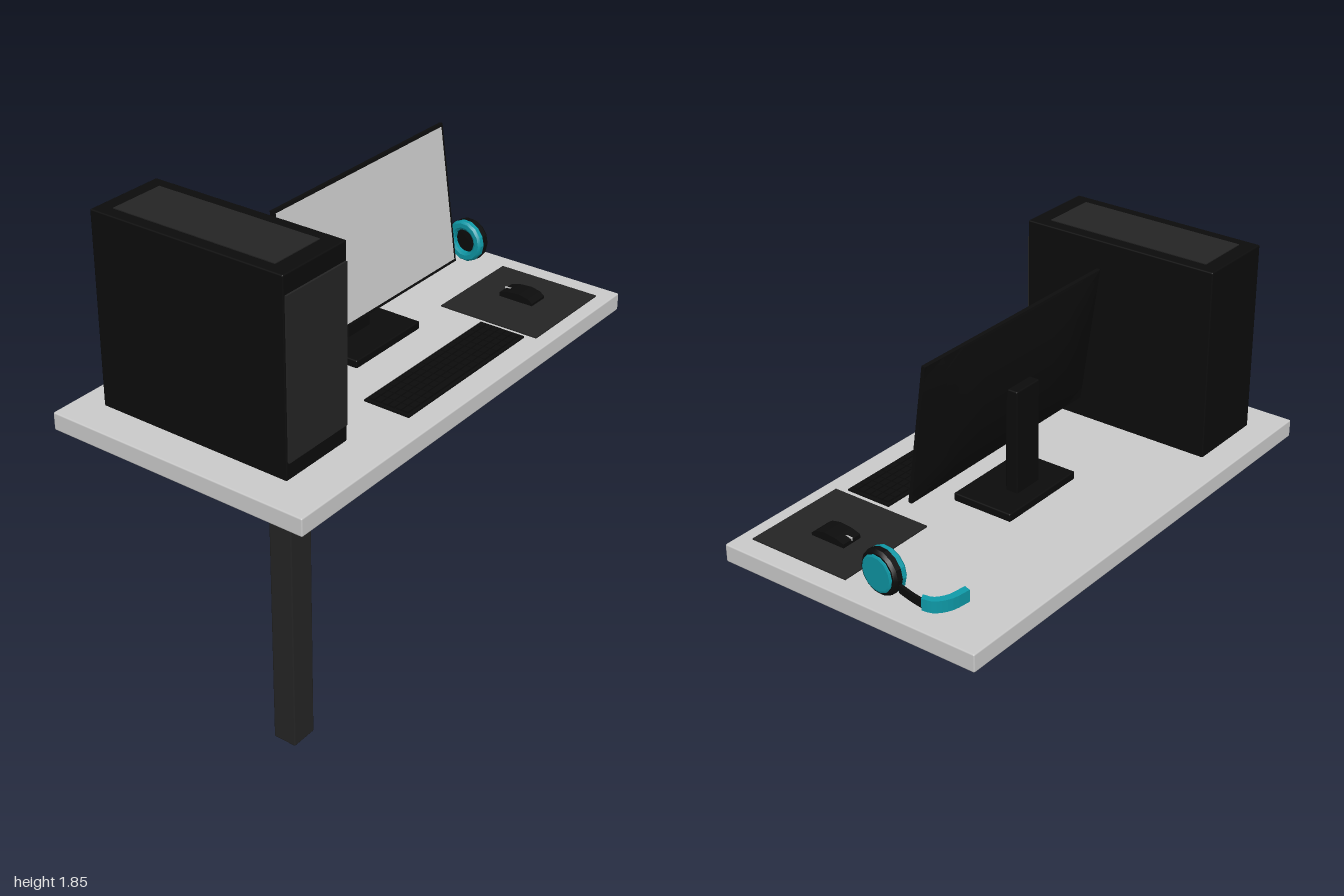
import * as THREE from 'three';
import { mergeGeometries, toCreasedNormals } from 'three/addons/utils/BufferGeometryUtils.js';
import { RoundedBoxGeometry } from 'three/addons/geometries/RoundedBoxGeometry.js';

const mat = (color) => new THREE.MeshStandardMaterial({ color });
const grey = mat(0xcccccc), black = mat(0x0c0c0c), panel = mat(0x242424), teal = mat(0x0e98a6);

function add(parent, name, geometry, material) {
  const mesh = new THREE.Mesh(geometry, material);
  mesh.name = name;
  parent.add(mesh);
  return mesh;
}

function group(parent, name) {
  const g = new THREE.Group();
  g.name = name;
  parent.add(g);
  return g;
}

// Box given by its limits on each axis, with an optional small bevel
function block([x0, x1], [y0, y1], [z0, z1], bevel = 0) {
  const size = [x1 - x0, y1 - y0, z1 - z0];
  const g = bevel ? new RoundedBoxGeometry(...size, 1, bevel) : new THREE.BoxGeometry(...size);
  return g.translate((x0 + x1) / 2, (y0 + y1) / 2, (z0 + z1) / 2);
}

const TOP = 1.085; // height of the desk surface

function buildDesk(root) {
  const desk = group(root, 'desk');
  add(desk, 'deskTop', block([-1, 1], [1.013, TOP], [-0.557, 0.557], 0.006), grey);
  add(desk, 'deskLeg', block([-0.89, -0.78], [0, 1.014], [0.325, 0.42], 0.006), panel);
}

function buildTower(root) {
  const tower = group(root, 'computerTower');
  add(tower, 'towerCase', block([-0.857, -0.53], [TOP, 1.842], [-0.445, 0.38], 0.005), black);
  add(tower, 'towerFrontPanel', block([-0.85, -0.537], [1.155, 1.77], [0.37, 0.388]), panel);
  add(tower, 'towerTopPanel', block([-0.808, -0.58], [1.83, 1.845], [-0.385, 0.31]), panel);
}

// Back shell: depth grows from the rim, straight across and curved in height
function backShell(w, h, rim, bulge) {
  const g = new THREE.BoxGeometry(w, h, 1, 10, 12, 1);
  const p = g.attributes.position;
  for (let i = 0; i < p.count; i++) {
    const x = p.getX(i), y = p.getY(i);
    const across = Math.min(1, (w / 2 - Math.abs(x)) / (w * 0.2));
    const up = 1 - (2 * y / h) ** 2;
    p.setZ(i, p.getZ(i) > 0 ? 0 : -rim - bulge * Math.min(across, up));
  }
  return toCreasedNormals(g, 0.3);
}

function buildMonitor(root) {
  const monitor = group(root, 'monitor');
  add(monitor, 'monitorBase', block([-0.11, 0.283], [TOP, 1.118], [-0.152, 0.105], 0.005), black);
  add(monitor, 'monitorNeck', block([0.018, 0.15], [1.11, 1.53], [-0.083, -0.03], 0.005), black);
  const head = group(monitor, 'monitorHead');
  head.position.set(0.086, 1.515, 0.019);
  head.rotation.x = -0.143;
  const w = 1.004, h = 0.556;
  add(head, 'monitorShell', backShell(w, h, 0.015, 0.045), black);
  add(head, 'screen', block([-w / 2 + 0.012, w / 2 - 0.012], [-h / 2 + 0.012, h / 2 - 0.012], [-0.005, 0.002]), grey);
}

function buildKeyboard(root) {
  const keyboard = group(root, 'keyboard');
  add(keyboard, 'keyboardBody', block([-0.28, 0.462], [TOP, 1.092], [0.265, 0.46]), black);
  const keys = [], rows = 6, cols = 18, dx = 0.722 / cols, dz = 0.176 / rows;
  for (let r = 0; r < rows; r++) {
    for (let c = 0; c < cols; c++) {
      if (r === 5 && c > 4 && c < 9) continue; // room for the space bar
      const x = -0.27 + c * dx, z = 0.274 + r * dz, end = r === 5 && c === 4 ? x + 5 * dx : x + dx;
      keys.push(block([x + 0.003, end - 0.003], [1.09, 1.1], [z + 0.003, z + dz - 0.003]));
    }
  }
  add(keyboard, 'keys', mergeGeometries(keys), black);
}

function buildMouse(root) {
  add(root, 'mousePad', block([0.484, 0.92], [TOP, 1.09], [0.065, 0.5]), panel);
  const mouse = group(root, 'mouse');
  // Side profile of the mouse, front end towards the monitor
  const side = new THREE.Shape([
    [-0.35, 1.089], [-0.2, 1.089], [-0.2, 1.106], [-0.24, 1.118], [-0.29, 1.122], [-0.33, 1.114], [-0.35, 1.1],
  ].map(([x, y]) => new THREE.Vector2(x, y)));
  const body = new THREE.ExtrudeGeometry(side, { depth: 0.088, bevelEnabled: false });
  body.rotateY(Math.PI / 2).translate(0.689, 0, 0);
  add(mouse, 'mouseBody', body, black);
  add(mouse, 'buttonGap', block([0.731, 0.735], [1.1, 1.114], [0.199, 0.265]), grey);
}

// Upright strip following points [x, z], rising gently towards the front
function bandStrip(points, thickness, height) {
  const curve = new THREE.CatmullRomCurve3(points.map(([x, z]) => new THREE.Vector3(x, -z, 0)));
  const outer = [], inner = [];
  for (let i = 0; i <= 10; i++) {
    const p = curve.getPoint(i / 10), t = curve.getTangent(i / 10);
    const n = new THREE.Vector2(-t.y, t.x).multiplyScalar(thickness / 2);
    outer.push(new THREE.Vector2(p.x, p.y).add(n));
    inner.unshift(new THREE.Vector2(p.x, p.y).sub(n));
  }
  const g = new THREE.ExtrudeGeometry(new THREE.Shape([...outer, ...inner]), { depth: height, bevelEnabled: false });
  g.rotateX(-Math.PI / 2);
  const pos = g.attributes.position;
  for (let i = 0; i < pos.count; i++) pos.setY(i, pos.getY(i) + 1.09 + (pos.getZ(i) + 0.36) * 0.17);
  g.computeVertexNormals();
  return g;
}

function buildHeadphones(root) {
  const phones = group(root, 'headphones');
  const cup = group(phones, 'earCup');
  cup.position.set(0.897, 1.174, -0.09);
  cup.rotation.y = -0.1;
  // Ring-shaped parts turned about the ear axis; profile points are [radius, x]
  const turned = (name, profile, material) => {
    const g = new THREE.LatheGeometry(profile.map(([r, x]) => new THREE.Vector2(r, x)), 14);
    add(cup, name, toCreasedNormals(g.rotateZ(-Math.PI / 2), 0.4), material).material.side = THREE.DoubleSide;
  };
  turned('earCushion', [[0.05, -0.012], [0.05, -0.028], [0.06, -0.034], [0.078, -0.034], [0.086, -0.025], [0.086, -0.006]], teal);
  turned('earShell', [[0, -0.012], [0.06, -0.012], [0.087, -0.007], [0.087, 0.015], [0.078, 0.027], [0, 0.027]], black);
  turned('earCap', [[0.071, 0.024], [0.071, 0.031], [0.064, 0.034], [0, 0.034]], teal);
  add(phones, 'bandArm', bandStrip([[0.906, -0.17], [0.911, -0.23], [0.91, -0.29]], 0.012, 0.032), black);
  add(phones, 'headband', bandStrip([[0.915, -0.272], [0.9, -0.305], [0.85, -0.335], [0.77, -0.347]], 0.024, 0.047), teal);
}

export function createModel() {
  const root = new THREE.Group();
  root.name = 'computerDesk';
  for (const build of [buildDesk, buildTower, buildMonitor, buildKeyboard, buildMouse, buildHeadphones]) build(root);
  return root;
}
